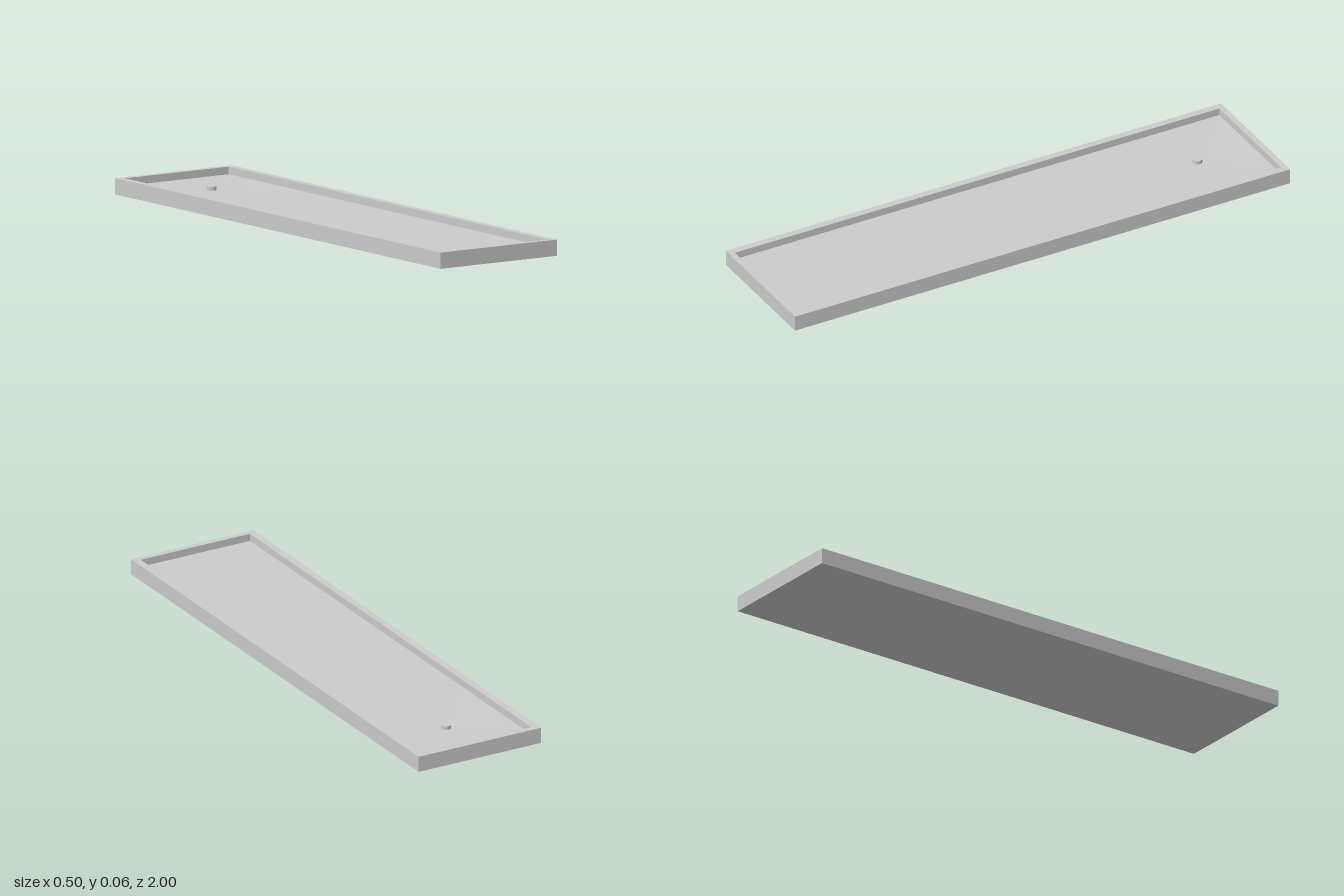
import * as THREE from 'three';

const W = 0.5, L = 2, H = 0.058;      // outer size
const IX = 0.223, IZ = 0.978;         // inner half sizes
const FLOOR = 0.031, DIP = 0.024;     // floor height, low point at the drain
const DRAIN_Z = -0.765, DIP_END = -0.5;

// Rectangle outline centred on the origin
function rect(Type, hx, hy) {
  return new Type([[-hx, -hy], [hx, -hy], [hx, hy], [-hx, hy]].map(([x, y]) => new THREE.Vector2(x, y)));
}

export function createModel() {
  const group = new THREE.Group();
  const material = new THREE.MeshStandardMaterial({ color: 0xcccccc, flatShading: true });
  const add = (name, geometry, y = 0, z = 0) => {
    const mesh = new THREE.Mesh(geometry, material);
    mesh.name = name;
    mesh.position.set(0, y, z);
    group.add(mesh);
  };

  // Raised rim around the tray
  const outline = rect(THREE.Shape, W / 2, L / 2);
  outline.holes.push(rect(THREE.Path, IX, IZ));
  add('rim', new THREE.ExtrudeGeometry(outline, { depth: H, bevelEnabled: false }).rotateX(-Math.PI / 2));

  // Underside
  add('underside', new THREE.PlaneGeometry(2 * IX, 2 * IZ).rotateX(Math.PI / 2));

  // Flat floor in front of the drain area
  const flat = IZ - DIP_END;
  add('floor', new THREE.PlaneGeometry(2 * IX, flat).rotateX(-Math.PI / 2), FLOOR, DIP_END + flat / 2);

  // Four shallow slopes falling to the drain
  const corners = [[-IX, -IZ], [-IX, DIP_END], [IX, DIP_END], [IX, -IZ]];
  const points = [];
  corners.forEach(([x, z], i) => {
    const [nx, nz] = corners[(i + 1) % 4];
    points.push(x, FLOOR, z, nx, FLOOR, nz, 0, DIP, DRAIN_Z);
  });
  const slopes = new THREE.BufferGeometry();
  slopes.setAttribute('position', new THREE.Float32BufferAttribute(points, 3));
  slopes.computeVertexNormals();
  add('drainSlopes', slopes);

  // Drain cap
  add('drainCap', new THREE.CylinderGeometry(0.018, 0.018, 0.016, 24), 0.03, DRAIN_Z);
  return group;
}
